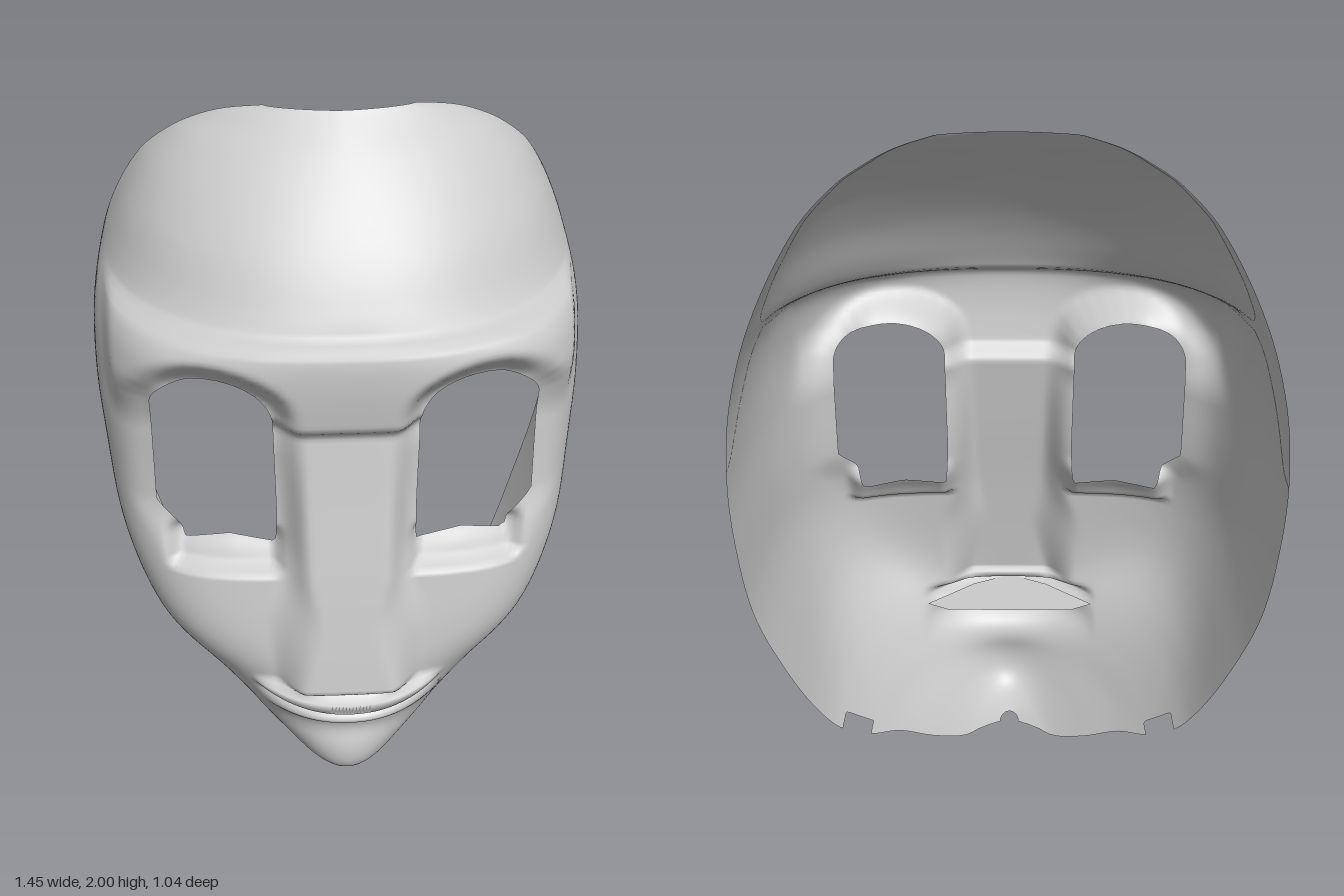
import * as THREE from 'three';
import { mergeVertices } from 'three/addons/utils/BufferGeometryUtils.js';

const material = new THREE.MeshStandardMaterial({ color: 0xcccccc, side: THREE.DoubleSide });
const step = (a, b, v) => {
  const t = Math.min(1, Math.max(0, (v - a) / (b - a)));
  return t * t * (3 - 2 * t);
};
const bump = (v, mid, width) => Math.exp(-(((v - mid) / width) ** 2));

// Smooth lookup through [y, value] pairs (y ascending)
function curve(points) {
  const slope = (i) => {
    const a = points[Math.max(0, i - 1)], b = points[Math.min(points.length - 1, i + 1)];
    return (b[1] - a[1]) / (b[0] - a[0]);
  };
  return (y) => {
    let i = 0;
    while (i < points.length - 2 && y > points[i + 1][0]) i++;
    const [y0, v0] = points[i], [y1, v1] = points[i + 1], h = y1 - y0;
    const t = Math.min(1, Math.max(0, (y - y0) / h));
    const s = t * t * (3 - 2 * t);
    return v0 + (v1 - v0) * s + h * t * (1 - t) * (slope(i) * (1 - t) - slope(i + 1) * t);
  };
}

// Half width, front depth, rear rim depth and squareness of the section by height
const halfWidth = curve([[0, 0.03], [0.015, 0.1], [0.04, 0.15], [0.1, 0.235], [0.2, 0.36], [0.3, 0.46], [0.4, 0.53],
  [0.6, 0.615], [0.8, 0.68], [1, 0.71], [1.2, 0.725], [1.4, 0.71], [1.6, 0.655], [1.8, 0.55], [1.9, 0.45],
  [1.95, 0.365], [1.98, 0.29], [2, 0.2]]);
const frontDepth = curve([[0, 0.26], [0.02, 0.34], [0.05, 0.385], [0.1, 0.407], [0.2, 0.41], [0.3, 0.415], [0.45, 0.405],
  [0.6, 0.39], [0.8, 0.365], [1, 0.345], [1.2, 0.35], [1.4, 0.375], [1.5, 0.37], [1.6, 0.325], [1.7, 0.265],
  [1.8, 0.19], [1.9, 0.105], [2, 0.01]]);
const rimDepth = curve([[0, 0.2], [0.03, 0.08], [0.1, -0.03], [0.18, -0.12], [0.25, -0.24], [0.33, -0.33], [0.4, -0.37],
  [0.5, -0.415], [0.6, -0.45], [0.8, -0.5], [1, -0.52], [1.2, -0.5], [1.4, -0.46], [1.6, -0.39],
  [1.8, -0.27], [1.9, -0.185], [1.95, -0.135], [1.98, -0.09], [2, -0.045]]);
const squareness = curve([[0, 2], [0.2, 2.05], [0.38, 2.6], [0.57, 4.1], [0.72, 4.3], [0.95, 3.75], [1.2, 3.2], [1.4, 2.9],
  [1.46, 2.75], [1.55, 2.3], [1.7, 2.15], [1.8, 2], [1.9, 1.8], [2, 1.5]]);
const noseDepth = curve([[0.4, 0.492], [0.6, 0.465], [0.8, 0.435], [1, 0.4], [1.25, 0.36]]);
const noseHalf = curve([[0.4, 0.13], [0.5, 0.1], [0.65, 0.07], [0.8, 0.1], [1.25, 0.11]]);
const noseFlank = curve([[0.4, 0.08], [0.5, 0.12], [0.65, 0.16], [0.8, 0.08], [1.25, 0.06]]);

// Eye opening: straight sides, arched top, ragged lower edge
const eye = [[0.2, 0.84], [0.33, 0.86], [0.455, 0.84], [0.475, 0.91], [0.53, 0.96], [0.53, 1.26]];
for (let k = 1; k < 14; k++) {
  const a = (k / 14) * Math.PI;
  eye.push([0.365 + 0.165 * Math.cos(a) + 0.015 * Math.sin(a), 1.26 + 0.11 * Math.sin(a)]);
}
eye.push([0.2, 1.26], [0.195, 0.95]);

// Signed distance to the eye outline, negative inside
function eyeDistance(x, y) {
  const px = Math.abs(x);
  let best = 9, inside = false;
  eye.forEach(([ax, ay], i) => {
    const [bx, by] = eye[(i + 1) % eye.length];
    const dx = bx - ax, dy = by - ay;
    const t = Math.min(1, Math.max(0, ((px - ax) * dx + (y - ay) * dy) / (dx * dx + dy * dy)));
    best = Math.min(best, Math.hypot(px - ax - t * dx, y - ay - t * dy));
    if ((ay > y) !== (by > y) && px < ax + ((y - ay) / dy) * dx) inside = !inside;
  });
  return inside ? -best : best;
}

// Signed distance to the torn notch in the rear rim, negative inside
const notchDistance = (y, z) => Math.max(z + 0.17 + 0.875 * (y - 0.25), y - 0.33, 0.25 - y);

// Forward relief of brow, sockets, nose and lips
function relief(x, y, d) {
  const ax = Math.abs(x);
  let z = 0;
  // Brow plate with a sharp upper step and trailing outer ridges
  const outer = step(0.3, 0.6, ax);
  z += (0.048 + 0.025 * outer) * (1 - step(1.495, 1.525, y))
    * step(1.22 - 0.06 * outer, 1.275 + 0.1 * outer, y) * (1 - step(0.625, 0.67, ax));
  // Rounded socket, deepest under the brow and shallow at the temple
  const depth = (0.04 + 0.06 * step(1.15, 1.36, y)) * (1 - 0.4 * step(0.4, 0.53, ax));
  z -= depth * (1 - step(-0.01, 0.1, d)) * step(0.11, 0.2, ax) * step(0.76, 0.9, y);
  // Lower lid shelf
  z -= 0.05 * step(0.77, 0.795, y) * (1 - step(0.86, 0.92, y)) * step(0.17, 0.21, ax) * (1 - step(0.46, 0.52, ax));
  // Wedge nose: flat bridge, soft middle, flared base
  const half = noseHalf(y);
  const nose = Math.max(0, noseDepth(y) - frontDepth(y)) * (1 - step(half, half + noseFlank(y), ax));
  z += nose * step(0.4, 0.43, y) * (1 - step(1.22, 1.28, y));
  // Upper lip ledge, mouth line and full lower lip
  const lip = Math.max(0, 1 - (ax / 0.28) ** 2);
  z += lip * (0.115 * bump(y, 0.393, 0.015) - 0.02 * bump(y, 0.366, 0.009) + 0.068 * bump(y, 0.325, 0.038));
  z -= 0.015 * bump(y, 0.22, 0.05) * bump(ax, 0, 0.15);
  return z;
}

// Point on the shell: a superelliptic cross-section plus relief
function shellPoint(y, angle) {
  const n = squareness(y);
  const s = Math.sin(angle), c = Math.max(0, Math.cos(angle));
  const r = (Math.abs(s) ** n + c ** n) ** (-1 / n);
  const x = halfWidth(y) * r * s, rim = rimDepth(y);
  const d = eyeDistance(x, y);
  const z = rim + (frontDepth(y) - rim) * r * c + relief(x, y, d) * step(0, 0.25, c);
  return { x, y, z, d: Math.min(d, notchDistance(y, z)) };
}

// Trim a polygon to the part outside the openings
function trim(poly) {
  const out = [];
  poly.forEach((a, i) => {
    const b = poly[(i + 1) % poly.length];
    if (a.d >= 0) out.push(a);
    if ((a.d >= 0) !== (b.d >= 0)) {
      const t = a.d / (a.d - b.d), mix = (k) => a[k] + (b[k] - a[k]) * t;
      out.push({ x: mix('x'), y: mix('y'), z: mix('z'), d: 0 });
    }
  });
  return out;
}

function shellGeometry(rows = 190, cols = 170) {
  const grid = [];
  for (let i = 0; i <= rows; i++) {
    const s = i / rows, y = 2 * (0.7 * s + 0.15 * (1 - Math.cos(Math.PI * s)));
    grid.push(Array.from({ length: cols + 1 }, (_, j) => shellPoint(y, (j / cols - 0.5) * Math.PI)));
  }
  const positions = [];
  for (let i = 0; i < rows; i++) {
    for (let j = 0; j < cols; j++) {
      const a = grid[i][j], b = grid[i][j + 1], c = grid[i + 1][j + 1], e = grid[i + 1][j];
      for (const tri of [[a, b, c], [a, c, e]]) {
        const p = trim(tri);
        for (let k = 1; k + 1 < p.length; k++) {
          for (const v of [p[0], p[k], p[k + 1]]) positions.push(v.x, v.y, v.z);
        }
      }
    }
  }
  let geometry = new THREE.BufferGeometry();
  geometry.setAttribute('position', new THREE.Float32BufferAttribute(positions, 3));
  geometry = mergeVertices(geometry, 1e-5);
  geometry.computeVertexNormals();
  return geometry;
}

export function createModel() {
  const group = new THREE.Group();
  group.name = 'faceMask';
  const add = (geometry, name) => {
    const mesh = new THREE.Mesh(geometry, material);
    mesh.name = name;
    group.add(mesh);
    return mesh;
  };
  add(shellGeometry(), 'maskShell');

  // Thin ledge running inward behind the mouth line
  const ledge = new THREE.Shape([[-0.27, 0.31], [-0.12, 0.45], [0, 0.515], [0.12, 0.45], [0.27, 0.31], [0.2, 0.27], [-0.2, 0.27]]
    .map(([x, z]) => new THREE.Vector2(x, -z)));
  add(new THREE.ShapeGeometry(ledge).rotateX(-Math.PI / 2), 'mouthLedge').position.y = 0.388;
  return group;
}
